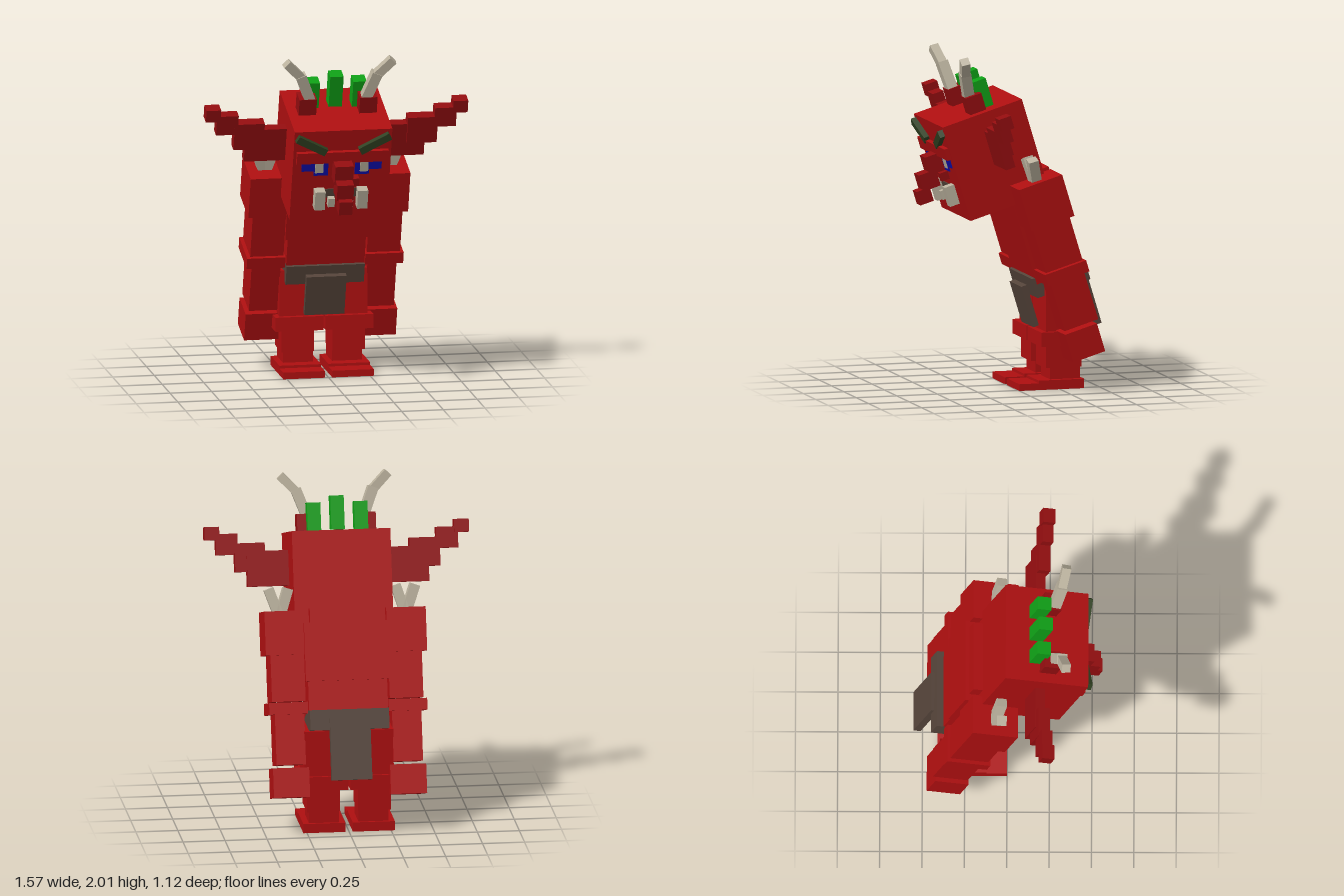
import * as THREE from 'three';

const TILT = 0.297; // forward lean of the upper body

const paint = (name, hex) => {
  const m = new THREE.MeshStandardMaterial({ color: hex });
  m.name = name;
  return m;
};

export function createModel() {
  const model = new THREE.Group();
  model.name = 'hornedCreature';

  const red = paint('red', 0xae0f10);
  const darkRed = paint('darkRed', 0x930d0f);
  const bone = paint('bone', 0xbab19d);
  const brown = paint('brown', 0x55443a);
  const green = paint('green', 0x0fa016);
  const moss = paint('mossGreen', 0x2f4020);
  const blue = paint('blue', 0x0c0caa);

  // Box from size and centre, leaning by rx and rolled by rz
  function box(name, mat, [w, h, d], [x, y, z], rx = TILT, rz = 0) {
    const mesh = new THREE.Mesh(new THREE.BoxGeometry(w, h, d), mat);
    mesh.name = name;
    mesh.position.set(x, y, z);
    mesh.rotation.set(rx, 0, rz);
    model.add(mesh);
    return mesh;
  }

  // Square bar between two points
  function bar(name, mat, a, b, t) {
    const p = new THREE.Vector3(...a), q = new THREE.Vector3(...b);
    const mesh = box(name, mat, [t, p.distanceTo(q), t], p.clone().add(q).multiplyScalar(0.5).toArray());
    mesh.quaternion.setFromUnitVectors(new THREE.Vector3(0, 1, 0), q.sub(p).normalize());
  }

  // Box on the face plane, placed by its height in world space;
  // out is how far its centre sits in front of the face
  function onFace(name, mat, size, x, y, out, rz = 0) {
    const v = 0.255 + out;
    const u = (y - 1.387 + v * Math.sin(TILT)) / Math.cos(TILT);
    const z = 0.149 + u * Math.sin(TILT) + v * Math.cos(TILT);
    return box(name, mat, size, [x, y, z], TILT, rz);
  }

  // Head and body
  box('head', red, [0.586, 0.59, 0.51], [0, 1.387, 0.149]);
  box('neck', red, [0.42, 0.16, 0.277], [0, 1.205, -0.09]);
  box('chest', red, [0.5, 0.345, 0.305], [0, 1.037, -0.151]);
  box('waist', red, [0.47, 0.25, 0.28], [0, 0.785, -0.217]);
  box('belt', brown, [0.47, 0.12, 0.34], [0, 0.65, -0.27]);
  box('frontCloth', brown, [0.24, 0.255, 0.035], [0, 0.48, -0.113]);
  box('backCloth', brown, [0.24, 0.365, 0.045], [0, 0.53, -0.479]);

  // Face
  onFace('browRidge', red, [0.55, 0.072, 0.03], 0, 1.43, 0.01);
  onFace('mouth', brown, [0.22, 0.055, 0.008], 0, 1.195, 0.002);
  onFace('wart', darkRed, [0.045, 0.05, 0.05], 0.08, 1.275, 0.025);
  box('noseBridge', darkRed, [0.11, 0.12, 0.1], [0, 1.34, 0.45]);
  box('noseMiddle', darkRed, [0.1, 0.1, 0.11], [0, 1.245, 0.485]);
  box('noseTip', darkRed, [0.08, 0.085, 0.085], [0, 1.15, 0.51]);

  // Hair tufts
  box('middleHair', green, [0.08, 0.2, 0.083], [0, 1.79, 0.2]);

  for (const s of [1, -1]) {
    const side = s > 0 ? 'left' : 'right';
    const part = (name, mat, size, [x, y, z], rx = TILT) =>
      box(side + name, mat, size, [s * x, y, z], rx);

    // Eyes, brows and teeth
    onFace(side + 'Eye', blue, [0.085, 0.09, 0.009], s * 0.123, 1.355, 0.003);
    onFace(side + 'EyeCorner', blue, [0.08, 0.06, 0.009], s * 0.2, 1.37, 0.003);
    onFace(side + 'Pupil', bone, [0.05, 0.068, 0.008], s * 0.135, 1.362, 0.009);
    onFace(side + 'Eyebrow', moss, [0.2, 0.045, 0.035], s * 0.19, 1.51, 0.015, s * 0.5);
    onFace(side + 'Tusk', bone, [0.062, 0.12, 0.06], s * 0.128, 1.165, 0.03);
    onFace(side + 'SmallTooth', bone, [0.04, 0.055, 0.045], s * 0.055, 1.145, 0.02);

    // Stepped ears: x centre, y, z, width, height, depth
    for (const [x, y, z, w, h, d] of [
      [0.41, 1.47, 0.165, 0.26, 0.21, 0.06],
      [0.52, 1.533, 0.195, 0.18, 0.17, 0.07],
      [0.655, 1.61, 0.22, 0.13, 0.125, 0.065],
      [0.742, 1.675, 0.235, 0.088, 0.078, 0.075],
    ]) part('Ear', darkRed, [w, h, d], [x, y, z]);

    // Horns, hair and shoulder spikes
    part('HornBase', darkRed, [0.105, 0.13, 0.1], [0.182, 1.705, 0.252]);
    bar(side + 'HornLower', bone, [s * 0.165, 1.74, 0.28], [s * 0.23, 1.905, 0.325], 0.062);
    bar(side + 'HornUpper', bone, [s * 0.22, 1.885, 0.32], [s * 0.32, 1.985, 0.35], 0.052);
    part('Hair', green, [0.08, 0.17, 0.083], [0.14, 1.768, 0.195]);
    bar(side + 'OuterSpike', bone, [s * 0.38, 1.25, -0.07], [s * 0.435, 1.4, -0.03], 0.06);
    bar(side + 'InnerSpike', bone, [s * 0.37, 1.25, -0.07], [s * 0.32, 1.4, -0.03], 0.06);

    // Arms
    part('Shoulder', red, [0.235, 0.26, 0.277], [0.362, 1.146, -0.106]);
    part('UpperArm', red, [0.2, 0.36, 0.235], [0.35, 0.93, -0.17]);
    part('ElbowBand', red, [0.23, 0.07, 0.265], [0.355, 0.72, -0.235]);
    part('Forearm', red, [0.175, 0.3, 0.215], [0.348, 0.545, -0.29]);
    part('Hand', red, [0.215, 0.175, 0.205], [0.348, 0.297, -0.35]);

    // Legs stand upright
    part('Thigh', red, [0.262, 0.29, 0.23], [0.134, 0.475, -0.28], 0);
    part('KneeBand', red, [0.288, 0.085, 0.28], [0.15, 0.302, -0.27], 0);
    part('Shin', red, [0.195, 0.14, 0.22], [0.152, 0.195, -0.28], 0);
    part('Ankle', red, [0.18, 0.09, 0.185], [0.147, 0.09, -0.292], 0);
    part('Heel', red, [0.25, 0.056, 0.28], [0.147, 0.028, -0.26], 0);
    part('Toe', red, [0.25, 0.04, 0.12], [0.147, 0.02, -0.06], 0);
  }
  return model;
}
